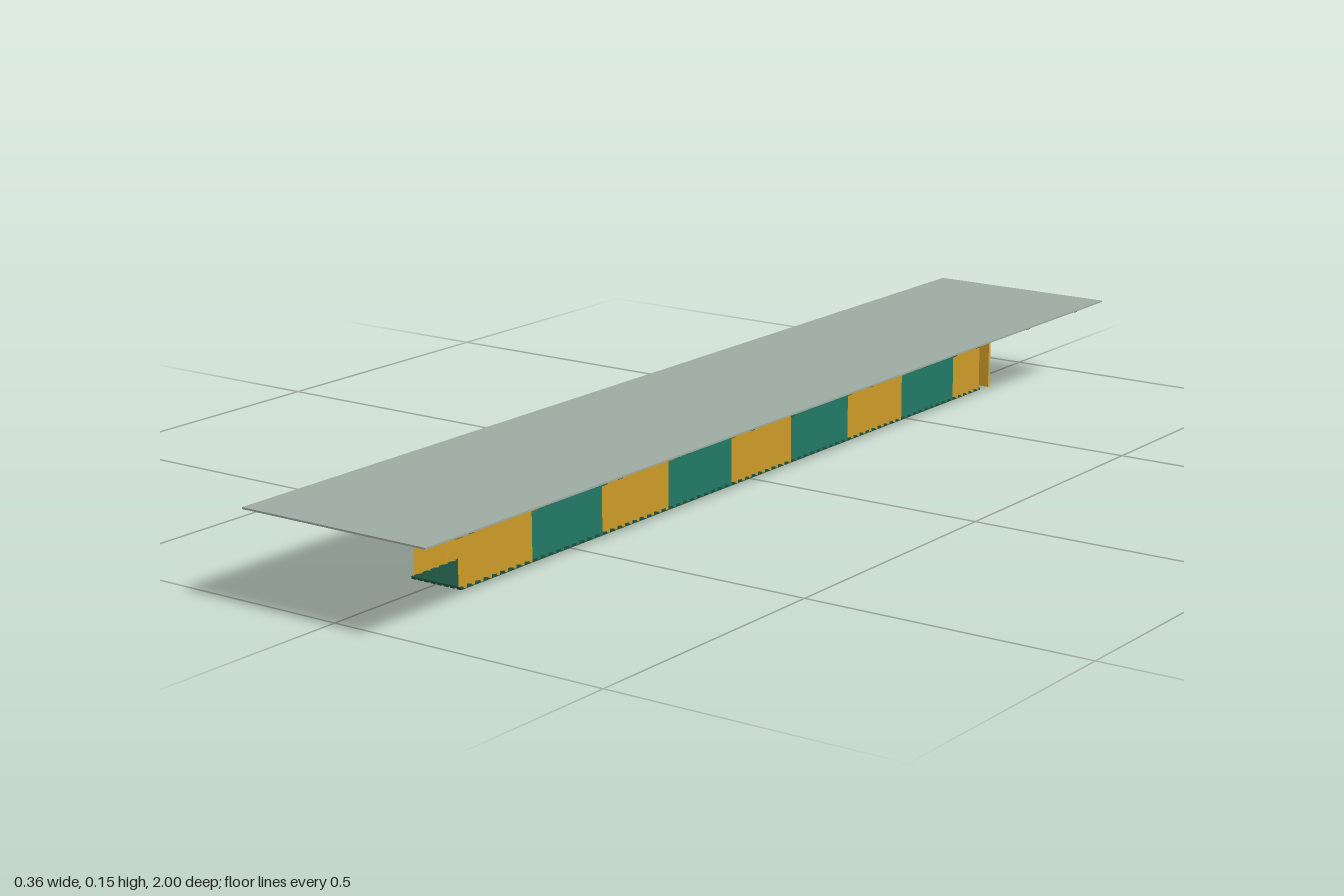
import * as THREE from 'three';
import { RoundedBoxGeometry } from 'three/addons/geometries/RoundedBoxGeometry.js';

const paint = (color, extra = {}) => new THREE.MeshStandardMaterial({ color, ...extra });
const yellow = paint(0xd9a42c);
const teal = paint(0x23806a);
const pleatYellow = paint(0xd9a42c, { side: THREE.DoubleSide, flatShading: true });
const pleatTeal = paint(0x23806a, { side: THREE.DoubleSide, flatShading: true });
const darkGreen = paint(0x1c4f3d);
const roofGrey = paint(0x9caaa2);
const beamGrey = paint(0x4a4f4e);

const FRONT = 0.77, BACK = -0.765, PITCH = 0.18, PLEAT = 0.02;

function add(parent, name, geometry, material, x, y, z) {
  const mesh = new THREE.Mesh(geometry, material);
  mesh.name = name;
  mesh.position.set(x, y, z);
  parent.add(mesh);
  return mesh;
}

const box = (parent, name, material, w, h, d, x, y, z) =>
  add(parent, name, new THREE.BoxGeometry(w, h, d), material, x, y, z);

// Upright sheet running along z, folded in and out between x = 0.045 and 0.053
function pleatedSheet(length, side) {
  const folds = 2 * Math.round(length / PLEAT);
  const geometry = new THREE.PlaneGeometry(length, 0.096, folds, 1);
  geometry.rotateY(side * Math.PI / 2);
  const p = geometry.attributes.position;
  for (let i = 0; i < p.count; i++) p.setX(i, side * (i % (folds + 1) % 2 ? 0.053 : 0.045));
  geometry.computeVertexNormals();
  return geometry;
}

export function createModel() {
  const model = new THREE.Group();
  model.name = 'coveredPassage';

  // Roof sheet with its grid of beams
  const canopy = new THREE.Group();
  canopy.name = 'canopy';
  model.add(canopy);
  box(canopy, 'roof', roofGrey, 0.36, 0.003, 2, 0, 0.1465, 0);
  for (let i = -2; i <= 2; i++)
    box(canopy, 'longBeam', beamGrey, 0.003, 0.003, 1.98, i * 0.0515, 0.1435, 0);
  for (let i = 0; i < 11; i++) {
    const z = -0.92 + i * PITCH;
    box(canopy, 'crossBeam', beamGrey, 0.334, 0.006, 0.012, 0, 0.141, z);
    // Hanging rod with a small ball at the end
    add(canopy, 'hangingRod', new THREE.CylinderGeometry(0.0007, 0.0007, 0.026, 8), beamGrey, 0.012, 0.128, z);
    add(canopy, 'rodBall', new THREE.SphereGeometry(0.0022, 12, 8), beamGrey, 0.012, 0.115, z);
  }

  // Floor of long slats over a thin sheet
  const floor = new THREE.Group();
  floor.name = 'floor';
  model.add(floor);
  const floorLength = FRONT - BACK, floorZ = (FRONT + BACK) / 2;
  box(floor, 'floorSheet', darkGreen, 0.1, 0.0015, floorLength, 0, 0.0035, floorZ);
  for (let i = 0; i < 8; i++)
    box(floor, 'floorSlat', darkGreen, 0.009, 0.003, floorLength, (i - 3.5) * 0.013, 0.0015, floorZ);

  // Pleated side walls in alternating colours, with a rounded bar at each joint
  for (let i = 0; i < 9; i++) {
    const start = FRONT - i * PITCH;
    const length = Math.min(PITCH, start - BACK);
    const bay = new THREE.Group();
    bay.name = 'bay';
    model.add(bay);
    for (const side of [-1, 1])
      add(bay, side > 0 ? 'leftWall' : 'rightWall', pleatedSheet(length, side),
        i % 2 ? pleatTeal : pleatYellow, 0, 0.05, start - length / 2);
    add(bay, 'crossBar', new RoundedBoxGeometry(0.108, 0.02, 0.024, 4, 0.008),
      i % 3 === 2 ? teal : yellow, 0, 0.0915, start);
  }

  // Separate panel closing the back end
  box(model, 'backPanel', yellow, 0.104, 0.1, 0.006, 0, 0.05, -0.795);

  return model;
}
